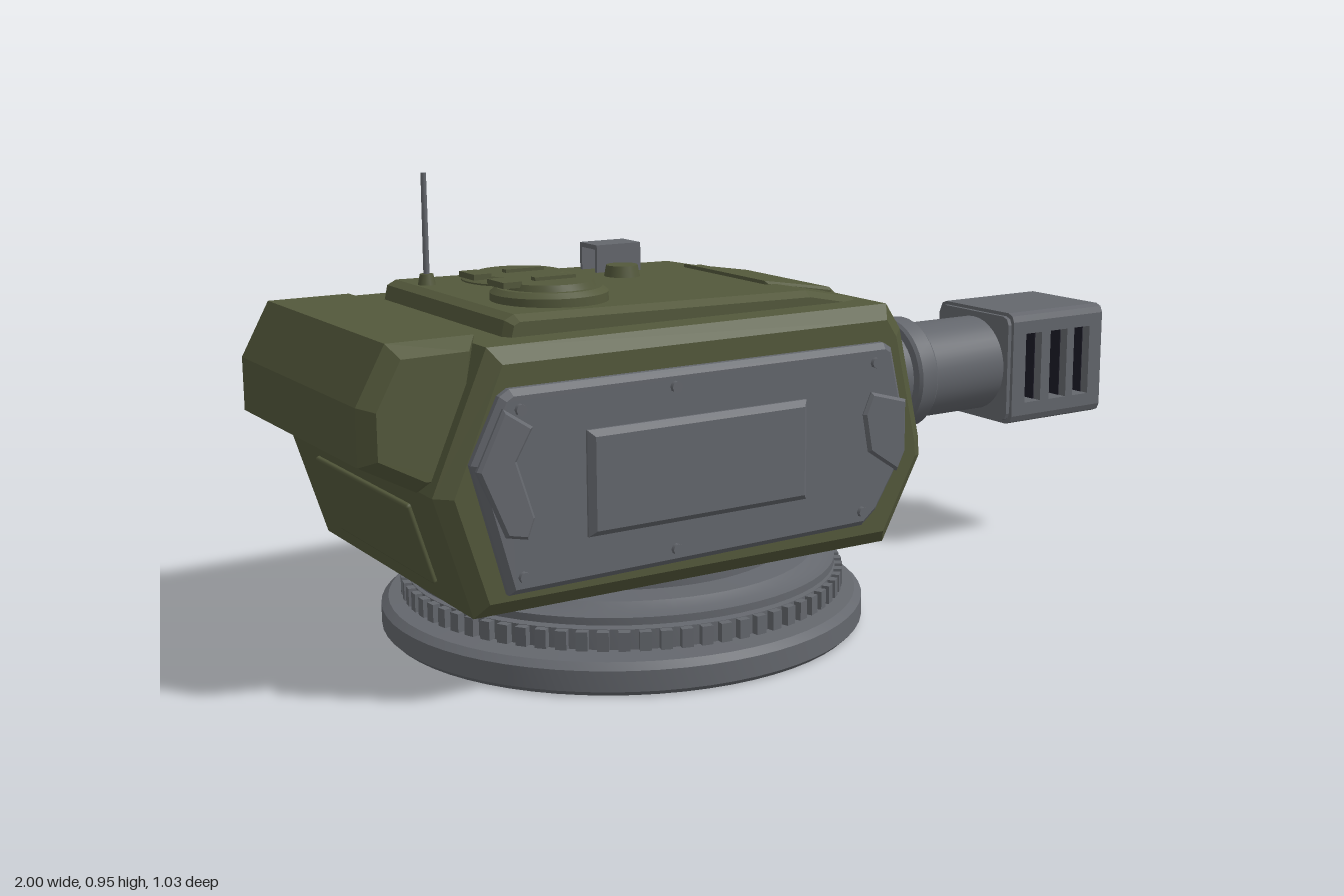
import * as THREE from 'three';
import { toCreasedNormals } from 'three/addons/utils/BufferGeometryUtils.js';
import { RoundedBoxGeometry } from 'three/addons/geometries/RoundedBoxGeometry.js';

const mat = (name, color) => {
  const m = new THREE.MeshStandardMaterial({ color });
  m.name = name;
  return m;
};

export function createModel() {
  const olive = mat('olive paint', 0x53583b);
  const steel = mat('grey steel', 0x64676d);
  const dark = mat('dark bore', 0x1b1a26);
  const root = new THREE.Group();
  root.name = 'gunTurret';

  const add = (name, geo, m, x = 0, y = 0, z = 0, parent = root) => {
    const mesh = new THREE.Mesh(geo, m);
    mesh.name = name;
    mesh.position.set(x, y, z);
    parent.add(mesh);
    return mesh;
  };
  const poly = (pts) => new THREE.Shape(pts.map(([x, y]) => new THREE.Vector2(x, y)));
  // Side profile extruded across z, centred, with chamfered rims inside the outline
  const prism = (pts, width, b = 0.01, t = b) => {
    const g = new THREE.ExtrudeGeometry(poly(pts), {
      depth: width - 2 * t, bevelEnabled: true, bevelSize: b, bevelThickness: t, bevelOffset: -b, bevelSegments: 1,
    });
    return g.translate(0, 0, -(width - 2 * t) / 2);
  };
  const rect = (x0, y0, x1, y1) => [[x0, y0], [x1, y0], [x1, y1], [x0, y1]];
  const lathe = (pts, n) => toCreasedNormals(
    new THREE.LatheGeometry(pts.map(([r, y]) => new THREE.Vector2(r, y)), n), 0.5);
  const cyl = (r0, r1, h, n = 32) => new THREE.CylinderGeometry(r0, r1, h, n);

  // Turntable with toothed ring
  const base = new THREE.Group();
  base.name = 'turntable';
  base.position.x = -0.285;
  root.add(base);
  add('basePlate', lathe([[0, 0], [0.505, 0], [0.515, 0.01], [0.515, 0.052], [0.5, 0.065], [0.44, 0.068],
    [0.44, 0.075], [0.457, 0.075], [0.457, 0.115], [0.43, 0.118], [0.43, 0.123], [0.456, 0.123],
    [0.456, 0.138], [0.43, 0.142], [0.41, 0.156], [0.35, 0.16], [0.35, 0.19], [0, 0.19]], 64), steel, 0, 0, 0, base);
  const tooth = new THREE.BoxGeometry(0.03, 0.038, 0.023);
  for (let i = 0; i < 72; i++) {
    const a = (i / 72) * Math.PI * 2;
    add('gearTooth', tooth, steel, Math.cos(a) * 0.458, 0.095, Math.sin(a) * 0.458, base).rotation.y = -a;
  }

  // Armoured hull, rear bustle and raised roof
  add('hull', prism([[-0.77, 0.685], [-0.885, 0.42], [-0.81, 0.18], [0.145, 0.175], [0.24, 0.35], [0.238, 0.39],
    [0.182, 0.63], [0.145, 0.685]], 0.76, 0.03, 0.025), olive);
  add('bustle', prism([[-1, 0.48], [-0.89, 0.42], [-0.8, 0.42], [-0.765, 0.7], [-0.94, 0.7], [-1, 0.59]],
    0.66, 0.025, 0.035), olive);
  add('rearLowerPlate', new RoundedBoxGeometry(0.02, 0.17, 0.46, 1, 0.006), olive, -0.847, 0.3, 0).rotation.z = 0.303;
  add('roof', prism([[-0.7, 0.67], [0.13, 0.67], [0.12, 0.69], [0, 0.714], [-0.67, 0.725], [-0.69, 0.715]],
    0.58, 0.012, 0.02), olive);
  add('roofFrontPlate', prism([[-0.025, 0.68], [0.12, 0.65], [0.165, 0.6], [0.192, 0.615], [0.165, 0.676],
    [0.145, 0.695], [-0.025, 0.722]], 0.33, 0.006), olive);

  // Roof hatches with hinges
  const hatch = (x, z, r, h) => {
    const g = new THREE.Group();
    g.name = 'hatch';
    g.position.set(x, 0.712, z);
    root.add(g);
    add('hatchRim', lathe([[r, 0], [r, h * 0.55], [r - 0.012, h * 0.75], [r - 0.025, h * 0.75],
      [r - 0.03, h], [0, h]], 32), olive, 0, 0, 0, g);
    add('hatchHinge', new THREE.BoxGeometry(0.04, 0.012, 0.07), olive, -r + 0.02, h, 0, g);
    add('hatchHandle', new THREE.BoxGeometry(0.09, 0.008, 0.018), olive, 0.01, h + 0.003, 0, g);
  };
  hatch(-0.52, 0.13, 0.117, 0.05);
  hatch(-0.44, -0.155, 0.122, 0.026);
  add('roofVent', cyl(0.034, 0.04, 0.03, 20), olive, -0.22, 0.727, -0.1);

  // Hollow periscope housing and antenna
  add('periscopeTop', new THREE.BoxGeometry(0.11, 0.01, 0.075), steel, -0.19, 0.773, -0.202);
  for (const z of [-0.169, -0.235])
    add('periscopeSide', new THREE.BoxGeometry(0.11, 0.06, 0.009), steel, -0.19, 0.742, z);
  add('antenna', cyl(0.006, 0.007, 0.255, 8), steel, -0.645, 0.8275, -0.17);
  add('antennaFoot', cyl(0.014, 0.02, 0.03, 10), olive, -0.645, 0.732, -0.17);

  // Bolted armour and front fittings, mirrored left and right
  const panel = prism([[-0.755, 0.225], [0.06, 0.232], [0.095, 0.26], [0.158, 0.36], [0.165, 0.45], [0.13, 0.6],
    [0.11, 0.612], [-0.745, 0.612], [-0.765, 0.6], [-0.825, 0.48]], 0.05, 0.012);
  const brackets = [
    [[-0.82, 0.47], [-0.765, 0.34], [-0.72, 0.33], [-0.705, 0.37], [-0.74, 0.48], [-0.705, 0.54], [-0.765, 0.58]],
    [[0.16, 0.49], [0.07, 0.515], [0.05, 0.47], [0.065, 0.39], [0.14, 0.34], [0.16, 0.38]],
  ];
  for (const s of [-1, 1]) {
    add('sideArmour', panel, steel, 0, 0, s * 0.379);
    add('sideArmourPlate', prism(rect(-0.595, 0.315, -0.095, 0.52), 0.03, 0.012), steel, 0, 0, s * 0.406);
    for (const b of brackets) add('armourBracket', prism(b, 0.02, 0.006), steel, 0, 0, s * 0.402);
    for (const [x, y] of [[-0.73, 0.575], [0.08, 0.575], [-0.73, 0.26], [0.05, 0.265], [-0.4, 0.26], [-0.4, 0.58]])
      add('armourBolt', cyl(0.011, 0.011, 0.012, 8), steel, x, y, s * 0.407).rotation.x = Math.PI / 2;
    add('cheekPlate', new RoundedBoxGeometry(0.03, 0.225, 0.13, 1, 0.008), olive, 0.211, 0.53, s * 0.262).rotation.z = 0.23;
    add('mantletRod', cyl(0.011, 0.011, 0.2, 10), olive, 0.25, 0.39, s * 0.19);
    add('towRing', new THREE.TorusGeometry(0.018, 0.007, 6, 14), olive, 0.25, 0.282, s * 0.19).rotation.y = Math.PI / 2;
    add('rodBracket', new THREE.BoxGeometry(0.06, 0.03, 0.03), olive, 0.228, 0.47, s * 0.19);
  }
  add('lowerFrontPlate', new RoundedBoxGeometry(0.02, 0.05, 0.38, 1, 0.006), olive, 0.185, 0.243, 0).rotation.z = -0.522;

  // Gun mantlet
  add('mantletFrame', prism([[0.12, 0.27], [0.22, 0.275], [0.265, 0.3], [0.265, 0.6], [0.2, 0.625], [0.12, 0.63]],
    0.34, 0.015), olive);
  add('mantlet', prism([[0.2, 0.285], [0.27, 0.285], [0.31, 0.32], [0.31, 0.555], [0.295, 0.59], [0.2, 0.6]],
    0.3, 0.015), olive);
  add('mantletCap', prism([[0.18, 0.6], [0.255, 0.58], [0.255, 0.6], [0.24, 0.615], [0.18, 0.635]], 0.2, 0.005), olive);

  // Barrel turned about the x axis
  const gun = new THREE.Group();
  gun.name = 'gun';
  gun.position.y = 0.447;
  root.add(gun);
  add('barrel', lathe([[0.11, 0.28], [0.11, 0.425], [0.124, 0.43], [0.13, 0.437], [0.13, 0.478], [0.124, 0.485],
    [0.112, 0.49], [0.112, 0.71]], 36), steel, 0, 0, 0, gun).rotation.z = -Math.PI / 2;

  // Muzzle brake: rounded sections joined by top and bottom bars around the slots
  const H = 0.133, c = 0.02;
  const section = (pts, x0, x1) => new THREE.ExtrudeGeometry(poly(pts), { depth: x1 - x0, bevelEnabled: false })
    .rotateY(Math.PI / 2).translate(x0, 0, 0);
  const k = c * 0.3;
  const cap = [[H, H - c], [H - k, H - k], [H - c, H], [c - H, H], [k - H, H - k], [-H, H - c]];
  const full = [...cap, ...cap.map(([a, b]) => [-a, -b])];
  const upper = [[-H, 0.083], [H, 0.083], ...cap];
  const lower = upper.map(([a, b]) => [-a, -b]);
  const small = full.map(([a, b]) => [a * 0.94, b * 0.94]);
  add('muzzleBack', section(small, 0.695, 0.705), steel, 0, 0, 0, gun);
  for (const [a, b] of [[0.705, 0.745], [0.795, 0.823], [0.877, 0.9], [0.95, 0.99]])
    add('muzzleRib', section(full, a, b), steel, 0, 0, 0, gun);
  add('muzzleRim', section(small, 0.99, 0.996), steel, 0, 0, 0, gun);
  for (const [a, b] of [[0.745, 0.795], [0.823, 0.877], [0.9, 0.95]]) {
    add('muzzleTopBar', section(upper, a, b), steel, 0, 0, 0, gun);
    add('muzzleBottomBar', section(lower, a, b), steel, 0, 0, 0, gun);
    for (const x of [a, b])
      add('slotLining', new THREE.BoxGeometry(0.004, 0.166, 0.22), dark, x, 0, 0, gun);
  }
  add('muzzleFace', new THREE.BoxGeometry(0.006, 0.238, 0.238), dark, 0.997, 0, 0, gun);

  return root;
}
